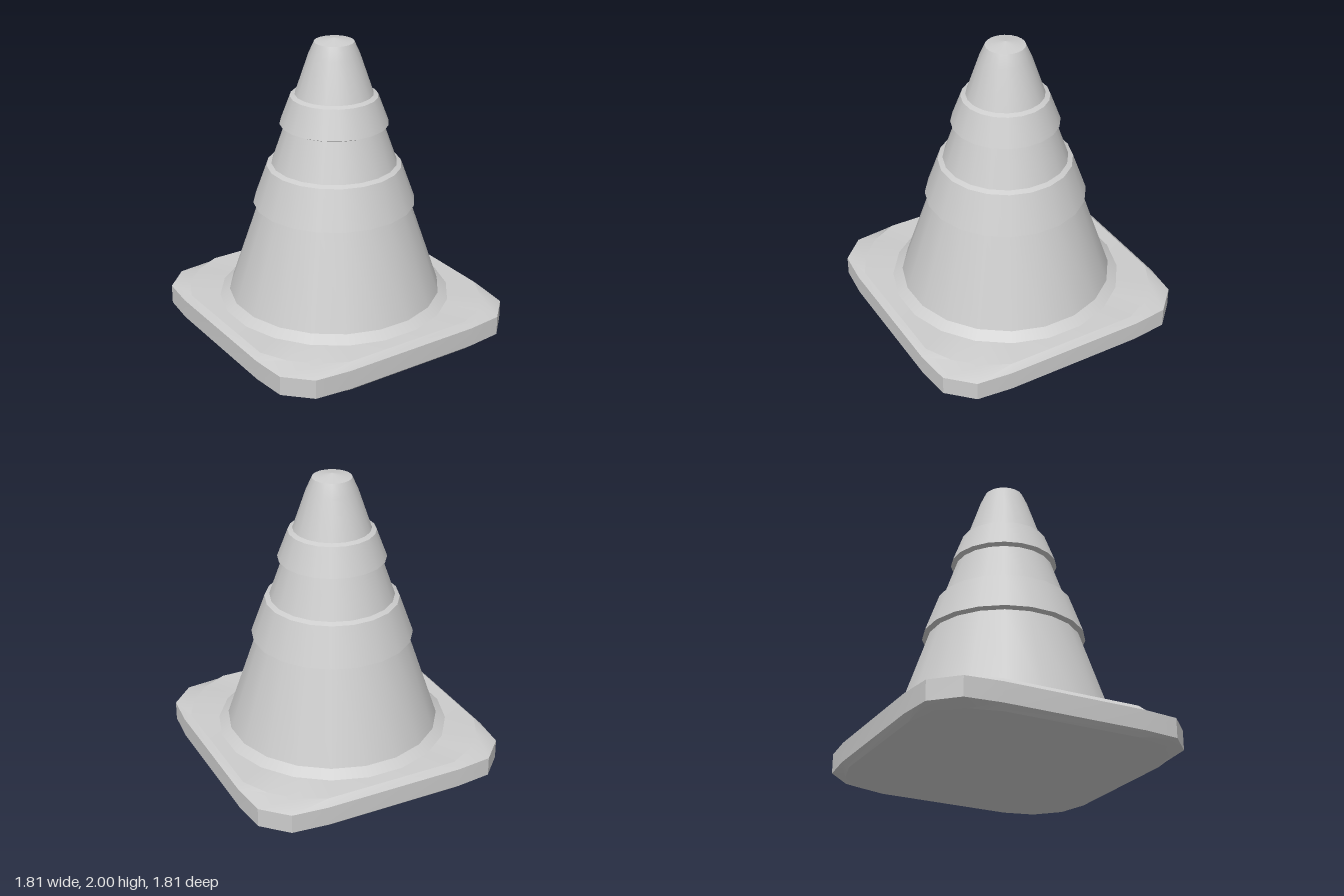
import * as THREE from 'three';
import { toCreasedNormals } from 'three/addons/utils/BufferGeometryUtils.js';

const SIDES = 20;

// Rounded-square outline: four corners, each with four points (shared side points kept once per corner)
function outline(sideScale, cornerScale) {
  const quarter = [[0.48, 0.905, sideScale], [0.72, 0.88, cornerScale], [0.88, 0.72, cornerScale], [0.905, 0.48, sideScale]];
  const pts = [];
  for (let k = 0; k < 4; k++) {
    const c = Math.round(Math.cos(k * Math.PI / 2)), s = Math.round(Math.sin(k * Math.PI / 2));
    for (const [x, z, f] of quarter) pts.push([(x * c + z * s) * f, (z * c - x * s) * f]);
  }
  return pts;
}

// Closed slab from stacked outlines, capped at both ends
function slab(levels) {
  const pos = [], index = [], n = levels[0].pts.length;
  for (const { y, pts } of levels) for (const [x, z] of pts) pos.push(x, y, z);
  for (let l = 0; l < levels.length - 1; l++) {
    for (let i = 0; i < n; i++) {
      const a = l * n + i, b = l * n + (i + 1) % n;
      index.push(a, b, b + n, a, b + n, a + n);
    }
  }
  const bottom = pos.length / 3, top = bottom + 1, last = (levels.length - 1) * n;
  pos.push(0, levels[0].y, 0, 0, levels[levels.length - 1].y, 0);
  for (let i = 0; i < n; i++) {
    const j = (i + 1) % n;
    index.push(bottom, j, i, top, last + i, last + j);
  }
  const g = new THREE.BufferGeometry();
  g.setAttribute('position', new THREE.Float32BufferAttribute(pos, 3));
  g.setIndex(index);
  return toCreasedNormals(g, THREE.MathUtils.degToRad(32));
}

export function createModel() {
  const group = new THREE.Group();
  const grey = new THREE.MeshStandardMaterial({ color: 0xcccccc });
  grey.name = 'plain grey';

  const add = (name, geometry) => {
    const mesh = new THREE.Mesh(geometry, grey);
    mesh.name = name;
    group.add(mesh);
  };
  // One smooth ring of the cone; separate rings keep the edges between them sharp
  const ring = (name, ...profile) => add(name, new THREE.LatheGeometry(
    profile.map(([r, y]) => new THREE.Vector2(r, y)), SIDES, Math.PI / SIDES));

  // Base slab with bevels that widen at the corners
  add('base', slab([
    { y: 0, pts: outline(0.955, 0.92) },
    { y: 0.035, pts: outline(1, 1) },
    { y: 0.165, pts: outline(1, 1) },
    { y: 0.203, pts: outline(0.955, 0.88) },
  ]));

  // Cone body, bottom to top
  ring('collar', [0.785, 0.2], [0.715, 0.248]);
  ring('lowerCone', [0.715, 0.248], [0.505, 0.87]);
  ring('lowerBandUnderside', [0.505, 0.866], [0.54, 0.88]);
  ring('lowerBand', [0.54, 0.88], [0.447, 1.14]);
  ring('lowerBandTop', [0.447, 1.14], [0.415, 1.155]);
  ring('middleCone', [0.415, 1.155], [0.325, 1.415]);
  ring('upperBandUnderside', [0.325, 1.413], [0.358, 1.428]);
  ring('upperBand', [0.358, 1.428], [0.288, 1.615]);
  ring('upperBandTop', [0.288, 1.615], [0.257, 1.628]);
  ring('upperCone', [0.257, 1.628], [0.168, 1.89], [0.13, 1.975]);
  ring('tip', [0.13, 1.975], [0, 2]);

  return group;
}
